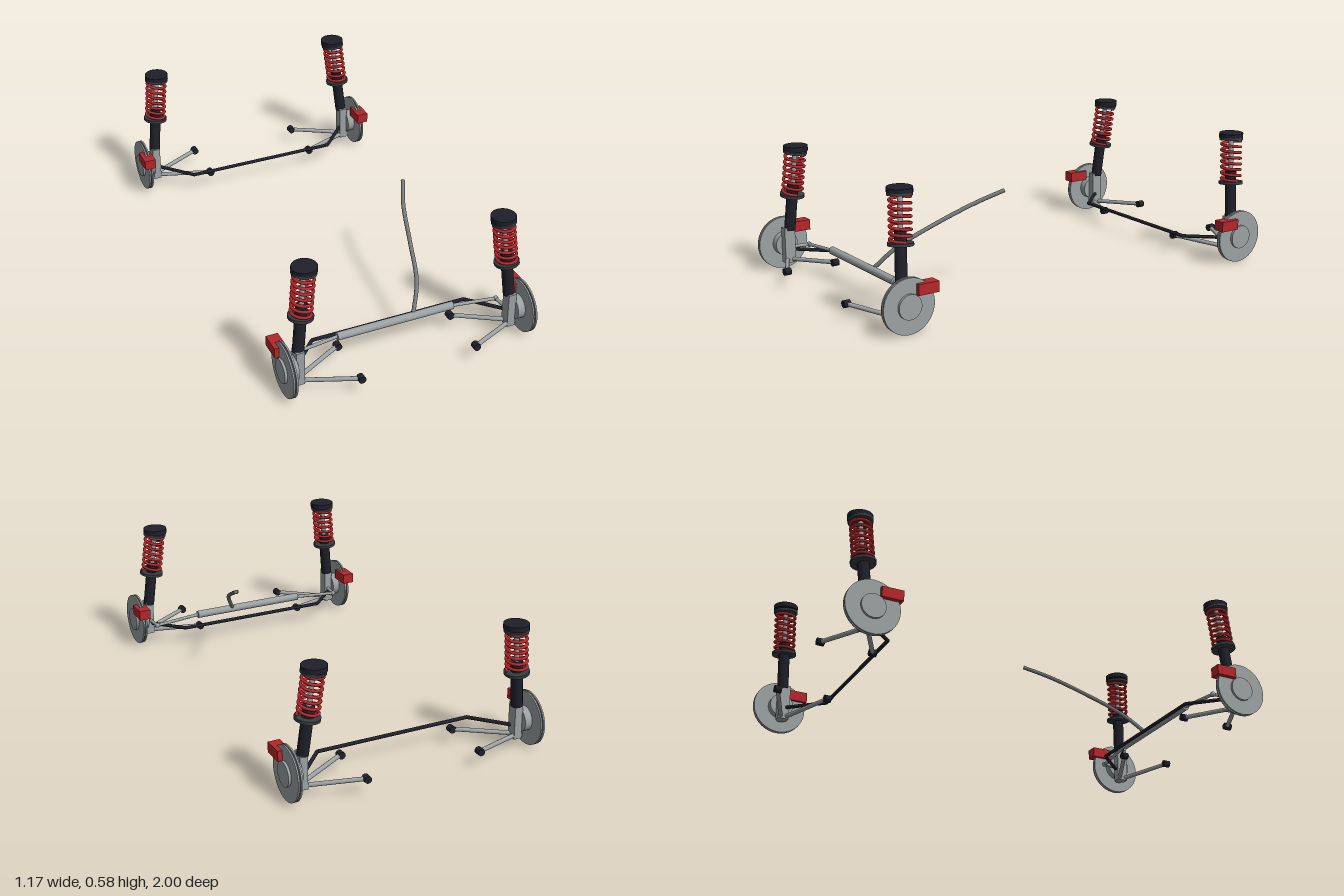
import * as THREE from 'three';

const mat = (name, color) => {
  const m = new THREE.MeshStandardMaterial({ color });
  m.name = name;
  return m;
};
const V = (x, y, z) => new THREE.Vector3(x, y, z);
const UP = V(0, 1, 0);

export function createModel() {
  const model = new THREE.Group();
  const silver = mat('silver steel', 0x9ba1a3);
  const iron = mat('dark iron', 0x4a4e50);
  const black = mat('blue black', 0x1e1f29);
  const seatGrey = mat('seat grey', 0x363c40);
  const red = mat('red', 0xb5262a);
  const shaftGrey = mat('shaft grey', 0x777b7b);

  const add = (parent, name, geo, material, pos = V(0, 0, 0)) => {
    const m = new THREE.Mesh(geo, material);
    m.name = name;
    m.position.copy(pos);
    parent.add(m);
    return m;
  };
  const cyl = (parent, name, r, h, material, pos, axis = 'y', seg = 32) => {
    const m = add(parent, name, new THREE.CylinderGeometry(r, r, h, seg), material, pos);
    if (axis === 'x') m.rotation.z = Math.PI / 2;
    if (axis === 'z') m.rotation.x = Math.PI / 2;
    return m;
  };
  // Round bar between two points
  const rod = (parent, name, a, b, r, material) => {
    const d = b.clone().sub(a);
    const m = cyl(parent, name, r, d.length(), material, a.clone().add(b).multiplyScalar(0.5), 'y', 16);
    m.quaternion.setFromUnitVectors(UP, d.normalize());
    return m;
  };

  // Coil spring wire, centred on the strut axis
  class Helix extends THREE.Curve {
    getPoint(t, target = V(0, 0, 0)) {
      const a = t * 7 * Math.PI * 2;
      return target.set(Math.cos(a) * 0.043, 0.172 + t * 0.184, Math.sin(a) * 0.043);
    }
  }
  const springGeo = new THREE.TubeGeometry(new Helix(), 210, 0.0068, 8);

  // Strut with spring, built along its own leaning axis
  const strut = (parent, bottom, top) => {
    const d = top.clone().sub(bottom);
    const g = new THREE.Group();
    g.name = 'strut';
    g.position.copy(bottom);
    g.quaternion.setFromUnitVectors(UP, d.clone().normalize());
    parent.add(g);
    cyl(g, 'damperTube', 0.025, 0.215, black, V(0, 0.1075, 0));
    cyl(g, 'pistonRod', 0.011, 0.17, silver, V(0, 0.295, 0), 'y', 20);
    cyl(g, 'lowerSpringSeat', 0.054, 0.013, seatGrey, V(0, 0.163, 0));
    cyl(g, 'upperSpringSeat', 0.053, 0.011, seatGrey, V(0, 0.363, 0));
    cyl(g, 'mountBearing', 0.033, 0.014, silver, V(0, 0.374, 0));
    add(g, 'coilSpring', springGeo, red);
    cyl(parent, 'topMount', 0.054, 0.022, black, V(top.x, 0.567, top.z));
  };

  // One wheel corner; s is the side, off widens the track
  const corner = (axle, s, zc, off, caliperZ, bushZ) => {
    const g = new THREE.Group();
    g.name = s > 0 ? 'leftCorner' : 'rightCorner';
    axle.add(g);
    const P = (x, y, z) => V(s * (x + off), y, z);
    const y = 0.118;
    // Vented brake disc and hub
    for (const dx of [-0.0065, 0.0065]) cyl(g, 'discPlate', 0.118, 0.007, silver, P(0.543 + dx, y, zc), 'x', 48);
    cyl(g, 'discCore', 0.111, 0.008, iron, P(0.543, y, zc), 'x', 40);
    cyl(g, 'hub', 0.053, 0.064, silver, P(0.532, y, zc), 'x');
    add(g, 'caliper', new THREE.BoxGeometry(0.053, 0.046, 0.094), red, P(0.546, 0.184, caliperZ));
    // Upright carrying the strut
    add(g, 'upright', new THREE.BoxGeometry(0.036, 0.16, 0.05), silver, P(0.484, 0.12, zc));
    strut(g, P(0.482, 0.19, zc - 0.007), P(0.443, 0.57, zc - 0.03));
    // Lower control arm with two bushings
    const joint = P(0.5, 0.051, zc);
    cyl(g, 'ballJoint', 0.02, 0.018, silver, joint, 'y', 20);
    for (const bz of bushZ) {
      const inner = V(s * 0.262, 0.073, bz);
      rod(g, 'controlArm', joint, inner, 0.0095, silver);
      cyl(g, 'armBushing', 0.016, 0.03, black, inner, 'z', 20);
    }
  };

  // Anti-roll bar, with ball-filled bends
  const swayBar = (axle, zMid, zEnd, off) => {
    const pts = [[-0.475 - off, zEnd], [-0.354, zMid], [0.354, zMid], [0.475 + off, zEnd]].map(([x, z]) => V(x, 0.095, z));
    for (let i = 0; i < 3; i++) rod(axle, 'antiRollBar', pts[i], pts[i + 1], 0.008, black);
    for (const p of pts) add(axle, 'antiRollBarBend', new THREE.SphereGeometry(0.008, 12, 8), black, p);
  };

  const front = new THREE.Group();
  front.name = 'frontAxle';
  const rear = new THREE.Group();
  rear.name = 'rearAxle';
  model.add(front, rear);
  for (const s of [1, -1]) {
    corner(front, s, 0.861, 0, 0.78, [0.983, 0.75]);
    corner(rear, s, -0.882, 0.015, -0.807, [-0.985, -0.758]);
    // Tie rods
    const outer = V(s * 0.475, 0.107, 0.765);
    rod(front, 'tieRod', V(s * 0.262, 0.128, 0.758), outer, 0.0075, silver);
    add(front, 'tieRodEnd', new THREE.SphereGeometry(0.012, 16, 12), silver, outer);
    rod(front, 'steeringArm', outer, V(s * 0.484, 0.107, 0.85), 0.008, silver);
  }
  swayBar(front, 0.7, 0.825, 0);
  swayBar(rear, -0.73, -0.868, 0.005);

  // Steering rack and column
  cyl(front, 'steeringRack', 0.0175, 0.536, silver, V(0, 0.128, 0.758), 'x');
  const path = new THREE.CatmullRomCurve3([
    V(0.083, 0.132, 0.757), V(0.14, 0.227, 0.67), V(0.19, 0.318, 0.5),
    V(0.237, 0.39, 0.34), V(0.289, 0.44, 0.226),
  ]);
  add(front, 'steeringColumn', new THREE.TubeGeometry(path, 40, 0.009, 12), shaftGrey);
  const end = cyl(front, 'steeringColumnEnd', 0.009, 0.004, shaftGrey, path.getPoint(1), 'y', 12);
  end.quaternion.setFromUnitVectors(UP, path.getTangent(1));

  return model;
}
